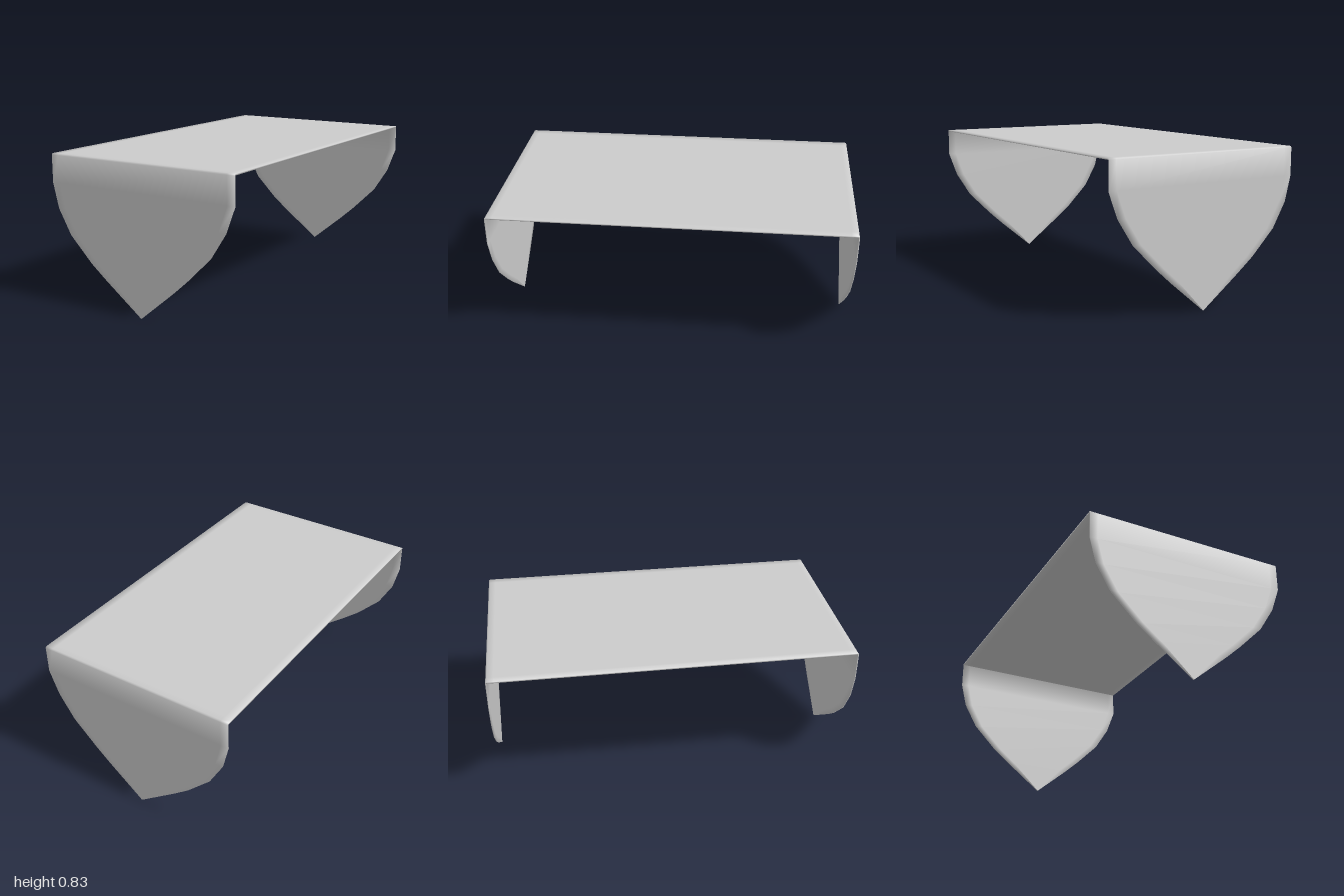
import * as THREE from 'three';

const HEIGHT = 0.83, SHEET = 0.008, FLAP = 0.006;

// Half of the folded strip, tip to middle: y, z, left x, right x, outward normal (y, z)
const HALF = [
  [0, 1, 0, 0, 0, 1],
  [0.17, 1, -0.225, 0.205, 0, 1],
  [0.25, 1, -0.325, 0.295, 0, 1],
  [0.39, 1, -0.465, 0.438, 0, 1],
  [0.53, 1, -0.545, 0.528, 0, 1],
  [0.67, 1, -0.58, 0.58, 0, 1],
  [0.821, 1, -0.58, 0.58, 0.35, 0.94],
  [0.828, 0.998, -0.58, 0.58, 0.7, 0.7],
  [HEIGHT, 0.992, -0.58, 0.58, 0.94, 0.35],
  [HEIGHT, 0.96, -0.58, 0.58, 1, 0],
];

// One closed sheet: each section loops over the outer face and back along the inner face
function foldedSheet() {
  const mirrored = HALF.map(([y, z, l, r, ny, nz]) => [y, -z, l, r, ny, -nz]).reverse();
  const sections = [...HALF, ...mirrored];
  const pos = [], nor = [], idx = [];
  const n = new THREE.Vector3();
  sections.forEach(([y, z, l, r, ny, nz], i) => {
    const inset = Math.min(0.045, (r - l) * 0.25);
    const xs = [l, l + inset, r - inset, r];
    const taper = i < 5 || i > sections.length - 6 ? 0.5 : 0; // cut edges face partly downward
    for (let j = 0; j < 8; j++) {
      const outer = j < 4, k = outer ? j : 7 - j;
      const yi = Math.min(y, HEIGHT - SHEET);
      const zi = Math.sign(z) * Math.min(Math.abs(z), 1 - FLAP);
      pos.push(xs[k], outer ? y : yi, outer ? z : zi);
      // Rim normals lean outward so the thin edges look rounded
      const side = k === 0 ? -1 : k === 3 ? 1 : 0, s = outer ? 1 : -1;
      n.set(side * 0.75, s * ny - Math.abs(side) * taper, s * nz).normalize();
      nor.push(n.x, n.y, n.z);
      if (i < sections.length - 1) {
        const a = i * 8 + j, b = i * 8 + (j + 1) % 8;
        idx.push(a, b, b + 8, a, b + 8, a + 8);
      }
    }
  });
  const geo = new THREE.BufferGeometry();
  geo.setAttribute('position', new THREE.Float32BufferAttribute(pos, 3));
  geo.setAttribute('normal', new THREE.Float32BufferAttribute(nor, 3));
  geo.setIndex(idx);
  return geo;
}

export function createModel() {
  const group = new THREE.Group();
  group.name = 'foldedBench';
  const material = new THREE.MeshStandardMaterial({ color: 0xcccccc, side: THREE.DoubleSide });
  // Flat top with a pointed flap folded down at each end
  const sheet = new THREE.Mesh(foldedSheet(), material);
  sheet.name = 'topWithEndFlaps';
  group.add(sheet);
  return group;
}
